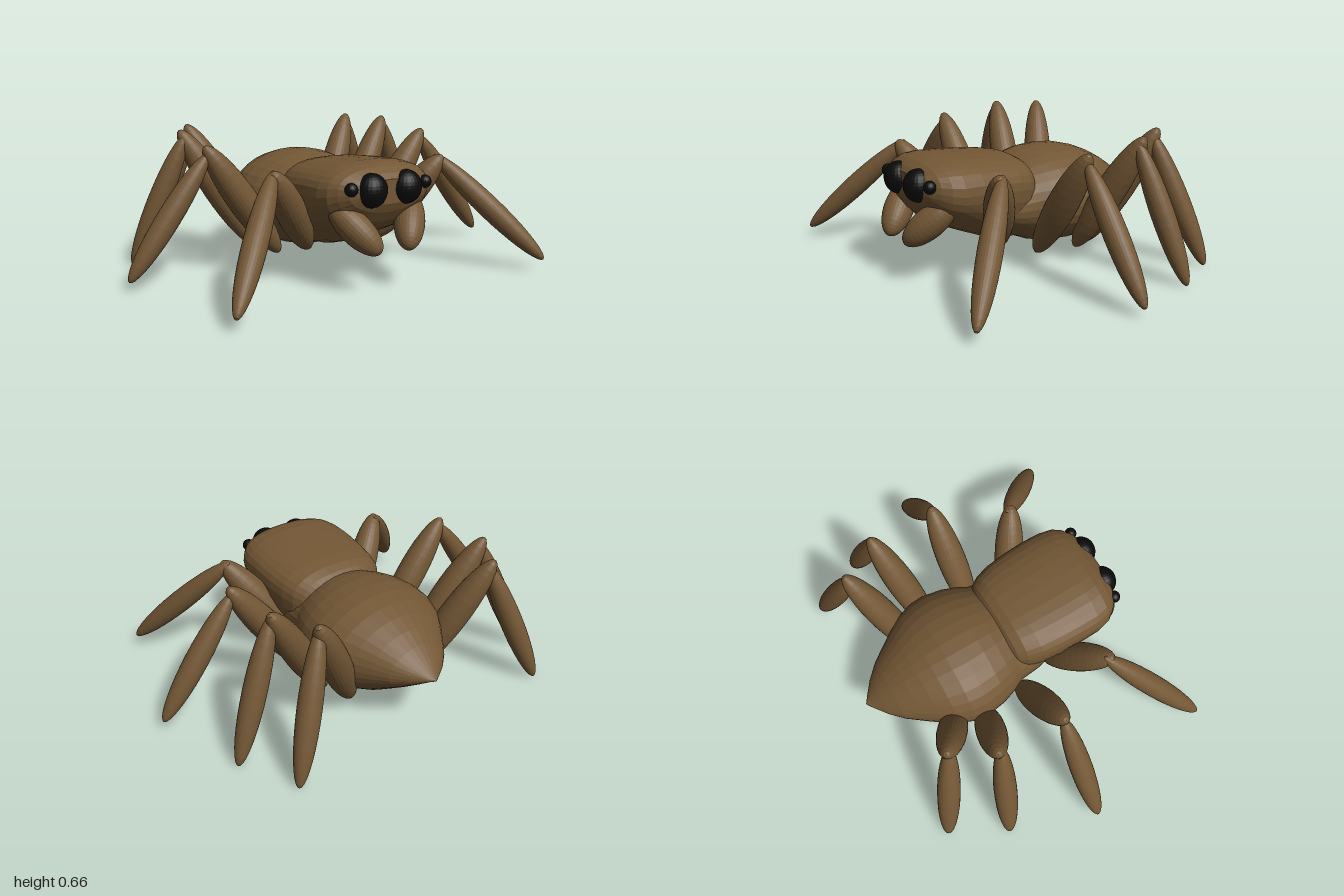
import * as THREE from 'three';

const brown = new THREE.MeshStandardMaterial({ color: 0x735735, flatShading: true });
const black = new THREE.MeshStandardMaterial({ color: 0x0a0a0a, flatShading: true });

// Closed body lofted front to back through rings [z, halfWidth, top, middle, bottom]
function loft(rings, topPower, centreX, sides = 32) {
  const pos = [], index = [];
  for (const [z, w, top, mid, bottom] of rings) {
    for (let j = 0; j < sides; j++) {
      const t = (j / sides) * Math.PI * 2, c = Math.cos(t), s = Math.sin(t);
      const e = s > 0 ? 2 / topPower : 1;
      const h = s > 0 ? top - mid : mid - bottom;
      pos.push(
        centreX + w * Math.sign(c) * Math.abs(c) ** e,
        mid + h * Math.sign(s) * Math.abs(s) ** e,
        z);
    }
  }
  const last = rings.length - 1, front = rings.length * sides, back = front + 1;
  pos.push(centreX, rings[0][3], rings[0][0], centreX, rings[last][3], rings[last][0]);
  for (let j = 0; j < sides; j++) {
    const k = (j + 1) % sides;
    for (let i = 0; i < last; i++) {
      const a = i * sides + j, b = i * sides + k;
      index.push(a, a + sides, b, b, a + sides, b + sides);
    }
    index.push(front, j, k, back, last * sides + k, last * sides + j);
  }
  const g = new THREE.BufferGeometry();
  g.setAttribute('position', new THREE.Float32BufferAttribute(pos, 3));
  g.setIndex(index);
  g.computeVertexNormals();
  return g;
}

// Ellipsoid stretched between two end points
function spindle(name, from, to, radius) {
  const a = new THREE.Vector3(...from), b = new THREE.Vector3(...to);
  const axis = b.clone().sub(a);
  const mesh = new THREE.Mesh(new THREE.SphereGeometry(1, 28, 18), brown);
  mesh.name = name;
  mesh.scale.set(radius, axis.length() / 2, radius);
  mesh.position.copy(a).add(b).multiplyScalar(0.5);
  mesh.quaternion.setFromUnitVectors(new THREE.Vector3(0, 1, 0), axis.normalize());
  return mesh;
}

function eye(name, x, y, z, rx, ry, rz) {
  const mesh = new THREE.Mesh(new THREE.SphereGeometry(1, 24, 16), black);
  mesh.name = name;
  mesh.scale.set(rx, ry, rz);
  mesh.position.set(x, y, z);
  return mesh;
}

export function createModel() {
  const model = new THREE.Group();
  model.name = 'spider';

  // Head and thorax: blunt in front, deeper towards the back
  const head = new THREE.Mesh(loft([
    [0.585, 0.15, 0.51, 0.45, 0.40],
    [0.565, 0.205, 0.535, 0.45, 0.36],
    [0.53, 0.245, 0.56, 0.45, 0.31],
    [0.49, 0.275, 0.573, 0.44, 0.27],
    [0.43, 0.29, 0.578, 0.43, 0.24],
    [0.33, 0.292, 0.572, 0.43, 0.195],
    [0.22, 0.287, 0.563, 0.42, 0.15],
    [0.12, 0.275, 0.553, 0.41, 0.12],
    [0.05, 0.255, 0.54, 0.40, 0.11],
    [0.01, 0.23, 0.52, 0.39, 0.11],
    [-0.03, 0.17, 0.47, 0.36, 0.15],
  ], 2.5, 0.006), brown);
  head.name = 'headAndThorax';
  model.add(head);

  // Abdomen: broad egg ending in a point
  const abdomen = new THREE.Mesh(loft([
    [0.24, 0.19, 0.36, 0.30, 0.24],
    [0.17, 0.25, 0.42, 0.30, 0.18],
    [0.1, 0.266, 0.46, 0.30, 0.14],
    [0.0, 0.275, 0.505, 0.30, 0.105],
    [-0.06, 0.305, 0.525, 0.30, 0.08],
    [-0.13, 0.33, 0.54, 0.30, 0.067],
    [-0.22, 0.345, 0.545, 0.30, 0.06],
    [-0.30, 0.338, 0.54, 0.30, 0.062],
    [-0.38, 0.308, 0.52, 0.30, 0.08],
    [-0.45, 0.262, 0.492, 0.30, 0.11],
    [-0.52, 0.212, 0.455, 0.30, 0.157],
    [-0.59, 0.16, 0.41, 0.30, 0.205],
    [-0.65, 0.1, 0.362, 0.30, 0.248],
    [-0.70, 0.035, 0.317, 0.30, 0.285],
    [-0.723, 0.002, 0.302, 0.30, 0.298],
  ], 2, 0.002), brown);
  abdomen.name = 'abdomen';
  model.add(abdomen);

  // Legs, front to back: hip, knee, knee top of the lower segment, foot
  const legs = [
    [[0.18, 0.135, 0.185], [0.465, 0.55, 0.37], [0.44, 0.55, 0.335], [0.818, 0.06, 0.722]],
    [[0.24, 0.08, 0.005], [0.62, 0.63, 0.005], [0.6, 0.595, 0.005], [0.998, 0.045, 0.005]],
    [[0.26, 0.07, -0.215], [0.605, 0.665, -0.335], [0.58, 0.645, -0.31], [0.84, 0.003, -0.408]],
    [[0.19, 0.055, -0.335], [0.49, 0.665, -0.53], [0.465, 0.645, -0.505], [0.695, 0.003, -0.675]],
  ];

  for (const side of [1, -1]) {
    const word = side > 0 ? 'left' : 'right';
    const flip = ([x, y, z]) => [side * x, y, z];
    legs.forEach(([hip, knee, top, foot], i) => {
      const leg = new THREE.Group();
      leg.name = `${word}Leg${i + 1}`;
      leg.add(spindle('upperLeg', flip(hip), flip(knee), 0.073));
      leg.add(spindle('lowerLeg', flip(top), flip(foot), 0.055));
      model.add(leg);
    });

    // Feelers hanging under the face
    model.add(spindle(`${word}Feeler`, flip([0.22, 0.4, 0.44]), flip([0.075, 0.195, 0.63]), 0.072));

    // Large and small eyes
    model.add(eye(`${word}LargeEye`, 0.009 + side * 0.093, 0.465, 0.565, 0.073, 0.077, 0.068));
    model.add(eye(`${word}SmallEye`, 0.009 + side * 0.198, 0.478, 0.565, 0.03, 0.03, 0.03));
  }
  return model;
}
